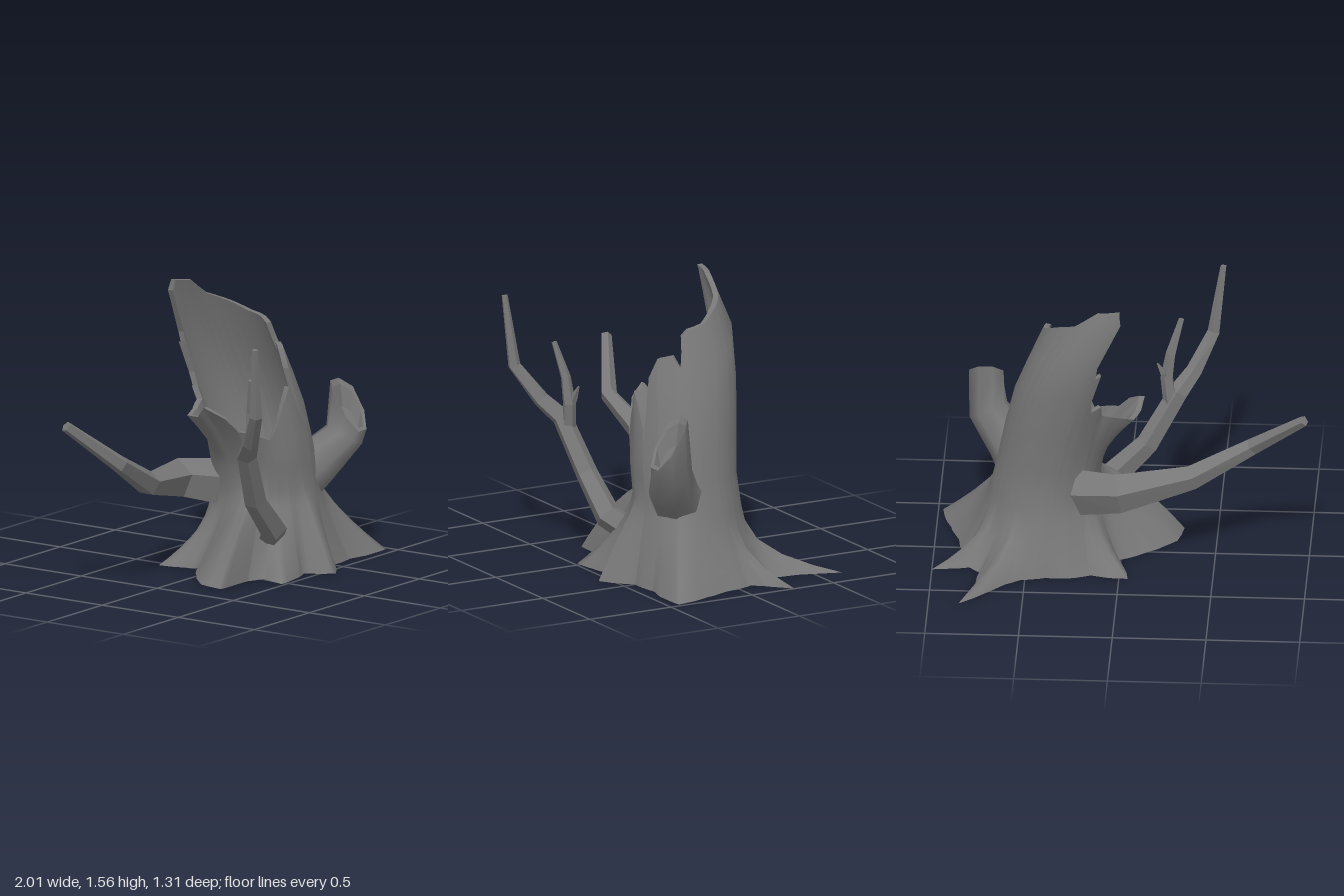
import * as THREE from 'three';

const V = (x, y, z) => new THREE.Vector3(x, y, z);
const bark = (flat) => new THREE.MeshStandardMaterial({ color: 0x777777, flatShading: flat, side: THREE.DoubleSide });

// Piecewise linear lookup in rows of [key, ...values]
function lookup(rows, k) {
  let i = 0;
  while (i < rows.length - 2 && rows[i + 1][0] < k) i++;
  const a = rows[i], b = rows[i + 1];
  const t = THREE.MathUtils.clamp((k - a[0]) / (b[0] - a[0]), 0, 1);
  return a.slice(1).map((v, j) => v + (b[j + 1] - v) * t);
}

// Skin joining closed rings of equal length
function loft(rings) {
  const n = rings[0].length, index = [];
  for (let i = 0; i < rings.length - 1; i++) {
    for (let j = 0; j < n; j++) {
      const a = i * n + j, b = i * n + (j + 1) % n;
      index.push(a, b, b + n, a, b + n, a + n);
    }
  }
  const g = new THREE.BufferGeometry().setFromPoints(rings.flat());
  g.setIndex(index);
  g.computeVertexNormals();
  return g;
}

function add(parent, name, geometry, flat = false) {
  const m = new THREE.Mesh(geometry, bark(flat));
  m.name = name;
  parent.add(m);
}

// Leaning trunk: height, centre x, centre z, radius
const SPINE = [
  [0, 0.42, 0.01, 0.32], [0.25, 0.41, 0.05, 0.295], [0.4, 0.41, 0.06, 0.285], [0.6, 0.37, 0.065, 0.28],
  [0.9, 0.31, 0.02, 0.285], [1.2, 0.2, -0.03, 0.28], [1.34, 0.14, -0.04, 0.28], [1.5, 0.04, -0.04, 0.25],
  [1.56, 0, -0.04, 0.23],
];
// Root outline: angle from +x towards +z, reach, steepness of the root's back
const ROOTS = [
  [-25, 0.64, 3.5], [-19, 0.48, 2.5], [-14, 0.42, 2], [10, 0.46, 1.8], [24, 0.55, 1.6], [37.5, 0.7, 1.5],
  [58, 0.48, 1.6], [79, 0.43, 1.5], [98, 0.56, 1.2], [113, 0.45, 1.4], [134, 0.65, 1.8], [142, 0.52, 1.4],
  [151, 0.58, 1], [159.5, 0.79, 0.8], [170, 0.72, 1.1], [182, 0.55, 1.6], [196, 0.42, 2],
  [215, 0.57, 2.5], [228, 0.4, 2], [265, 0.34, 2], [285, 0.38, 2], [293, 0.46, 3], [297, 0.57, 3.5],
  [302.5, 0.78, 4.2], [309, 0.54, 3.5], [318, 0.44, 3], [328, 0.45, 3], [335, 0.64, 3.5],
];
// Broken rim: angle, height, outward flare
const RIM = [
  [0, 1.35, 0], [20, 1.33, 0], [28, 1.3, 0], [32, 1.14, 0], [40, 1.2, 0], [58, 1.18, 0], [70, 1.08, 0],
  [78, 0.79, 0], [90, 1, 0.02], [105, 0.9, 0], [118, 0.8, 0], [130, 0.72, 0.01], [150, 0.77, 0.04],
  [158, 0.78, 0.07], [165, 0.86, 0.11], [178, 0.92, 0.14], [186, 0.86, 0.14], [200, 0.85, 0.13],
  [208, 0.87, 0.06], [222, 0.9, 0], [229, 0.97, 0], [240, 0.95, 0], [246, 1.03, 0], [248, 1.2, 0],
  [253, 1.18, 0], [257, 1.25, 0], [259, 1.5, 0], [270, 1.56, 0], [300, 1.54, 0], [315, 1.45, 0],
  [340, 1.4, 0], [360, 1.35, 0],
];

// Bottomless shell with roots, a jagged rim and a hollow cup inside
function trunk(parent) {
  const angles = new Set();
  for (let a = 0; a < 360; a += 10) angles.add(a);
  ROOTS.forEach(([a]) => angles.add((a + 360) % 360));
  RIM.forEach(([a]) => angles.add(a % 360));
  const list = [...angles].sort((a, b) => b - a);

  const ring = (height, inset = 0, scale = 1) => list.map((deg) => {
    const [rim, flare] = lookup(RIM, deg);
    const y = height(rim);
    const [cx, cz, r0] = lookup(SPINE, y);
    const [reach, steep] = lookup(ROOTS, deg > 335 ? deg - 360 : deg);
    let r = r0 + (reach - r0) * Math.pow(Math.max(0, 1 - y / 0.45), steep);
    r += flare * Math.pow(Math.max(0, (y - 0.55) / (rim - 0.55)), 1.6);
    r = (r - inset) * scale;
    const a = THREE.MathUtils.degToRad(deg);
    return V(cx + r * Math.cos(a), y, cz + r * Math.sin(a));
  });
  const at = (y) => () => y;
  const upper = (t) => (rim) => 0.55 + (rim - 0.55) * t;

  add(parent, 'trunkAndRoots', loft([
    ...[0, 0.04, 0.1, 0.18, 0.28, 0.36, 0.44, 0.55].map((y) => ring(at(y))),
    ...[0.25, 0.5, 0.75, 1].map((t) => ring(upper(t))),
  ]));
  add(parent, 'brokenRim', loft([ring(upper(1)), ring(upper(1), 0.03)]), true);
  add(parent, 'hollow', loft([
    ...[1, 0.66, 0.33].map((t) => ring(upper(t), 0.03)),
    ring(at(0.57), 0, 0.8), ring(at(0.53), 0, 0.5), ring(at(0.51), 0, 0.001),
  ]));
}

// Rings around a path with rows of [x, y, z, radius]
function limbRings(path, sides) {
  const pts = path.map((p) => V(p[0], p[1], p[2]));
  return pts.map((p, i) => {
    const t = pts[Math.min(i + 1, pts.length - 1)].clone().sub(pts[Math.max(i - 1, 0)]).normalize();
    const u = V(0, 0, 1).cross(t).normalize();
    const w = t.clone().cross(u);
    return Array.from({ length: sides }, (_, j) => {
      const a = (j + 0.5) / sides * Math.PI * 2;
      return p.clone().addScaledVector(u, Math.cos(a) * path[i][3]).addScaledVector(w, Math.sin(a) * path[i][3]);
    });
  });
}
function limb(parent, name, path, sides = 5) {
  const rings = limbRings(path, sides), tip = path.at(-1);
  rings.push(rings[0].map(() => V(tip[0], tip[1], tip[2])));
  add(parent, name, loft(rings), true);
}

// Short hollow stub, cut on a slant that is high at the back
function stub(parent) {
  const outer = limbRings([
    [0.48, 0.38, 0.13, 0.17], [0.6, 0.52, 0.25, 0.135], [0.73, 0.66, 0.34, 0.11], [0.74, 0.85, 0.36, 0.1],
  ], 8);
  outer[3] = outer[3].map((p) => V(p.x, THREE.MathUtils.clamp(0.84 - (p.z - 0.36) * 1.6, 0.68, 0.95), p.z));
  const shrink = (ring, k, drop) => {
    const c = ring.reduce((s, p) => s.add(p), V(0, 0, 0)).divideScalar(ring.length);
    return ring.map((p) => p.clone().lerp(c, k).add(V(0, -drop, 0)));
  };
  add(parent, 'brokenStub', loft(outer));
  add(parent, 'stubHollow', loft([
    outer[3], shrink(outer[3], 0.18, 0.01), shrink(outer[3], 0.4, 0.1), shrink(outer[3], 1, 0.13),
  ]), true);
}

export function createModel() {
  const group = new THREE.Group();
  group.name = 'treeStump';
  trunk(group);
  stub(group);
  // Long low branch
  limb(group, 'longBranch', [
    [0.2, 0.43, -0.14, 0.13], [0.0, 0.475, -0.24, 0.11], [-0.38, 0.53, -0.145, 0.068],
    [-0.7, 0.7, -0.1, 0.047], [-0.985, 0.94, -0.25, 0.03],
  ]);
  // Upright branch, rooted through the wall, with its fork and twig
  limb(group, 'uprightBranch', [
    [0.2, 0.16, 0.22, 0.075], [0.07, 0.27, 0.35, 0.075], [-0.12, 0.46, 0.37, 0.062], [-0.28, 0.74, 0.43, 0.055],
    [-0.36, 0.83, 0.51, 0.045], [-0.46, 1.01, 0.62, 0.035], [-0.51, 1.39, 0.65, 0.017],
  ]);
  limb(group, 'branchFork', [
    [-0.24, 0.68, 0.41, 0.04], [-0.22, 0.83, 0.42, 0.036], [-0.24, 0.97, 0.43, 0.028], [-0.295, 1.16, 0.47, 0.015],
  ]);
  limb(group, 'twig', [[-0.22, 0.8, 0.42, 0.025], [-0.2, 0.87, 0.4, 0.02], [-0.17, 0.93, 0.39, 0.005]], 4);
  return group;
}
